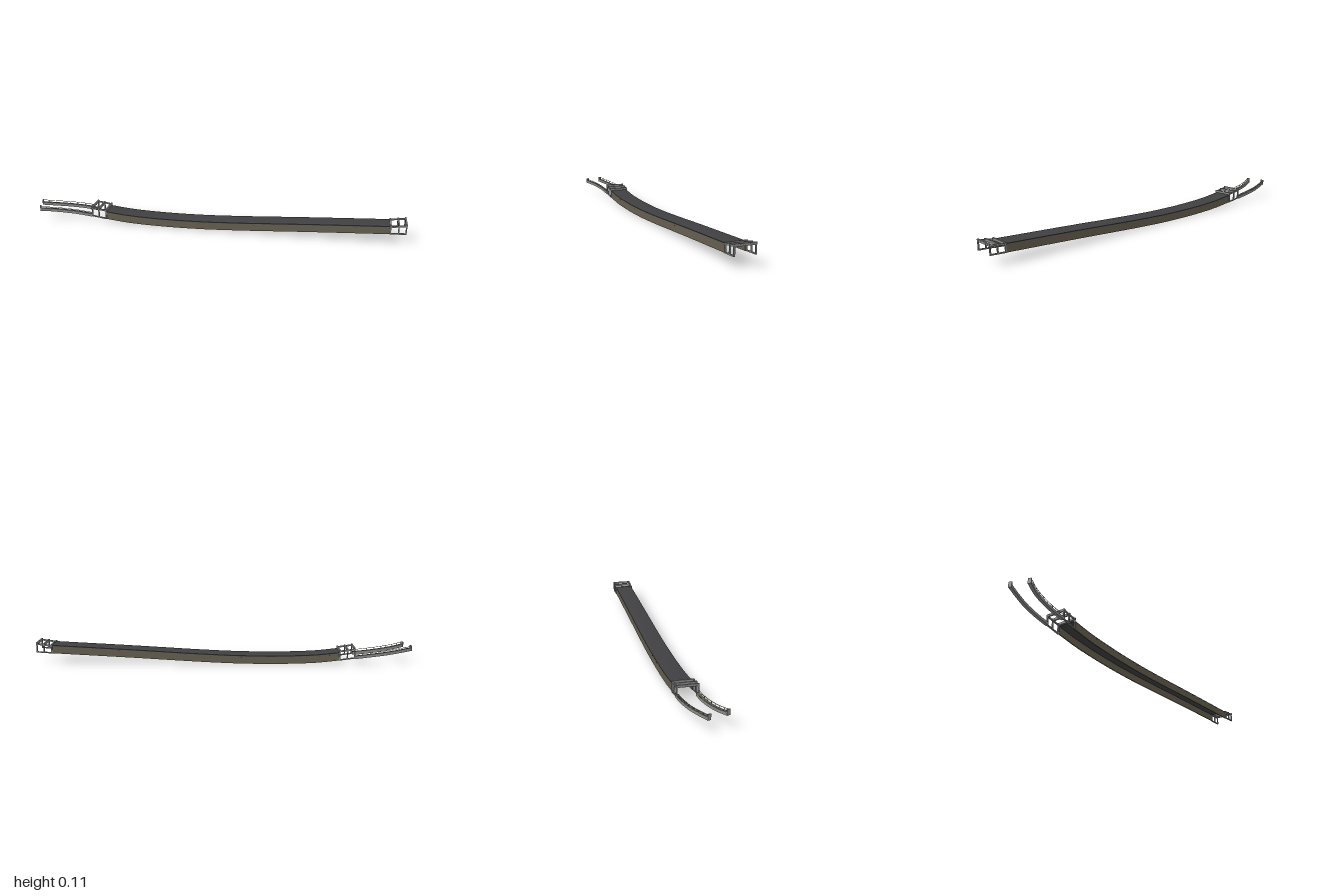
import * as THREE from 'three';
import { toCreasedNormals } from 'three/addons/utils/BufferGeometryUtils.js';

const mat = (name, color) => Object.assign(new THREE.MeshStandardMaterial({ color }), { name });
const V = (x, y, z) => new THREE.Vector3(x, y, z);
const UP = V(0, 1, 0);

// horizontal sideways direction (t x up) at a point of a curve
function sideAt(curve, s) {
  const t = curve.getTangent(s);
  t.y = 0;
  return t.normalize().cross(UP);
}

// sweep a counter-clockwise (sideways, up) section along a curve, keeping it upright
function sweep(curve, section, steps) {
  const n = section.length, rings = [], pos = [];
  for (let i = 0; i <= steps; i++) {
    const p = curve.getPoint(i / steps), side = sideAt(curve, i / steps);
    rings.push(section.map(([u, v]) => p.clone().addScaledVector(side, u).addScaledVector(UP, v)));
  }
  const tri = (...pts) => pts.forEach((p) => pos.push(p.x, p.y, p.z));
  for (let i = 0; i < steps; i++) {
    for (let k = 0; k < n; k++) {
      const m = (k + 1) % n, a = rings[i], b = rings[i + 1];
      tri(a[k], b[m], a[m]);
      tri(a[k], b[k], b[m]);
    }
  }
  // end caps, paired across the section
  const first = rings[0], last = rings[steps];
  for (let k = 0; k < n / 2 - 1; k++) {
    const q = [k, k + 1, n - 2 - k, n - 1 - k];
    tri(first[q[0]], first[q[1]], first[q[2]]);
    tri(first[q[0]], first[q[2]], first[q[3]]);
    tri(last[q[0]], last[q[2]], last[q[1]]);
    tri(last[q[0]], last[q[3]], last[q[2]]);
  }
  const g = new THREE.BufferGeometry();
  g.setAttribute('position', new THREE.Float32BufferAttribute(pos, 3));
  return toCreasedNormals(g, 0.5);
}

const rect = (u0, u1, v0, v1) => [[u0, v0], [u1, v0], [u1, v1], [u0, v1]];

export function createModel() {
  const model = new THREE.Group();
  const brown = mat('brown stone', 0x655f50);
  const roofDark = mat('dark roofing', 0x404042);
  const grey = mat('grey concrete', 0x8a8c8a);
  const black = mat('dark metal', 0x2c2b28);

  const add = (parent, name, geometry, material) => {
    const m = new THREE.Mesh(geometry, material);
    m.name = name;
    parent.add(m);
    return m;
  };

  // tunnel centre line: straight in plan, dipping in height
  const A = V(-0.61, 0, 0.135), B = V(0.887, 0, -0.255);
  const dips = [[0, 0.022], [0.08, 0.009], [0.2, 0.002], [0.34, 0.003], [0.47, 0.011], [0.73, 0.034], [1, 0.056]];
  const tunnelLine = new THREE.CatmullRomCurve3(dips.map(([s, y]) => A.clone().lerp(B, s).setY(y)));

  const tunnel = new THREE.Group();
  tunnel.name = 'tunnel';
  model.add(tunnel);
  for (const k of [-1, 1]) {
    const u0 = k < 0 ? -0.05 : 0.045;
    add(tunnel, 'tunnelWall', sweep(tunnelLine, rect(u0, u0 + 0.005, 0, 0.043), 48), brown);
  }

  // gently arched roof, open underneath
  const arch = [], N = 8;
  for (let i = 0; i <= N; i++) {
    const u = -1 + (2 * i) / N;
    arch.push([u * 0.0505, 0.04 + 0.003 * (1 - u * u)]);
  }
  const roofSection = [...arch, ...arch.map(([u, v]) => [u, v + 0.004]).reverse()];
  add(tunnel, 'tunnelRoof', sweep(tunnelLine, roofSection, 48), roofDark);

  // small drain holes along the walls
  const holeGeo = new THREE.BoxGeometry(0.002, 0.002, 0.001);
  for (let i = 1; i < 14; i++) {
    for (const k of [-1, 1]) {
      const s = i / 14;
      const h = add(tunnel, 'drainHole', holeGeo, black);
      h.position.copy(tunnelLine.getPoint(s)).addScaledVector(sideAt(tunnelLine, s), k * 0.0501);
      h.position.y += 0.034;
      h.rotation.y = 0.255;
    }
  }

  // straight beam between two points
  function beam(parent, name, a, b, w, h, material) {
    const m = add(parent, name, new THREE.BoxGeometry(w, h, a.distanceTo(b)), material);
    m.position.copy(a).add(b).multiplyScalar(0.5);
    m.lookAt(b);
    return m;
  }

  // open portal frame; dir is the outward direction along the tunnel
  function portal(name, origin, dir, floor, top) {
    const g = new THREE.Group();
    g.name = name;
    const L = 0.084;
    const at = (t, y, z) => V(dir * L * t, y, z);
    const lerp = THREE.MathUtils.lerp;
    for (const k of [-1, 1]) {
      const z = k * 0.051;
      for (const t of [0.03, 0.52, 0.97]) {
        const y0 = lerp(floor[0], floor[1], t), y1 = lerp(top[0], top[1], t) - 0.004;
        const post = add(g, 'portalPost', new THREE.BoxGeometry(0.006, y1 - y0, 0.007), grey);
        post.position.copy(at(t, (y0 + y1) / 2, z));
      }
      beam(g, 'portalSideBeam', at(0, top[0] - 0.008, z), at(1, top[1] - 0.008, z), 0.006, 0.008, grey);
      beam(g, 'portalBaseBeam', at(0, floor[0] + 0.003, z), at(1, floor[1] + 0.003, z), 0.007, 0.006, grey);
    }
    for (const t of [0.03, 0.52, 0.97]) {
      const cross = add(g, 'portalCrossBeam', new THREE.BoxGeometry(0.008, 0.012, 0.11), grey);
      cross.position.copy(at(t, lerp(top[0], top[1], t) - 0.006, 0));
      if (t < 0.9) continue;
      // bolts on the outer beam
      for (let i = -4; i <= 4; i++) {
        const bolt = add(g, 'beamBolt', new THREE.BoxGeometry(0.001, 0.002, 0.002), black);
        bolt.position.copy(cross.position).add(V(dir * 0.004, 0, i * 0.012));
      }
    }
    g.position.copy(origin);
    g.rotation.y = 0.255;
    model.add(g);
  }
  portal('rightPortal', A, -1, [0.022, 0.034], [0.08, 0.092]);
  portal('leftPortal', B, 1, [0.056, 0.061], [0.105, 0.116]);

  // curved approach walls with railings
  function approachWall(name, points, out) {
    const g = new THREE.Group();
    g.name = name;
    model.add(g);
    const line = new THREE.CatmullRomCurve3(points.map((p) => V(...p)));
    add(g, 'wallBand', sweep(line, rect(-0.008, 0.008, 0, 0.015), 24), grey);
    add(g, 'wallTop', sweep(line, rect(-0.006, 0.006, 0.015, 0.016), 24), brown);
    add(g, 'handRail', sweep(line, rect(out * 0.006 - 0.001, out * 0.006 + 0.001, 0.024, 0.026), 24), grey);
    for (let i = 0; i <= 8; i++) {
      const s = i / 8, end = i === 8;
      const size = end ? [0.006, 0.028, 0.017] : [0.002, 0.01, 0.002];
      const post = add(g, end ? 'endPost' : 'railPost', new THREE.BoxGeometry(...size), grey);
      const side = sideAt(line, s);
      post.position.copy(line.getPoint(s)).addScaledVector(side, end ? 0 : out * 0.006);
      post.position.y += end ? 0.014 : 0.02;
      post.rotation.y = Math.atan2(side.x, side.z);
    }
  }
  approachWall('frontApproachWall', [
    [-0.68, 0.032, 0.202], [-0.76, 0.041, 0.224], [-0.83, 0.049, 0.252], [-0.89, 0.057, 0.284], [-0.942, 0.065, 0.322],
  ], -1);
  approachWall('backApproachWall', [
    [-0.703, 0.032, 0.108], [-0.78, 0.041, 0.131], [-0.86, 0.049, 0.164], [-0.93, 0.057, 0.203], [-0.99, 0.065, 0.24],
  ], 1);

  return model;
}
